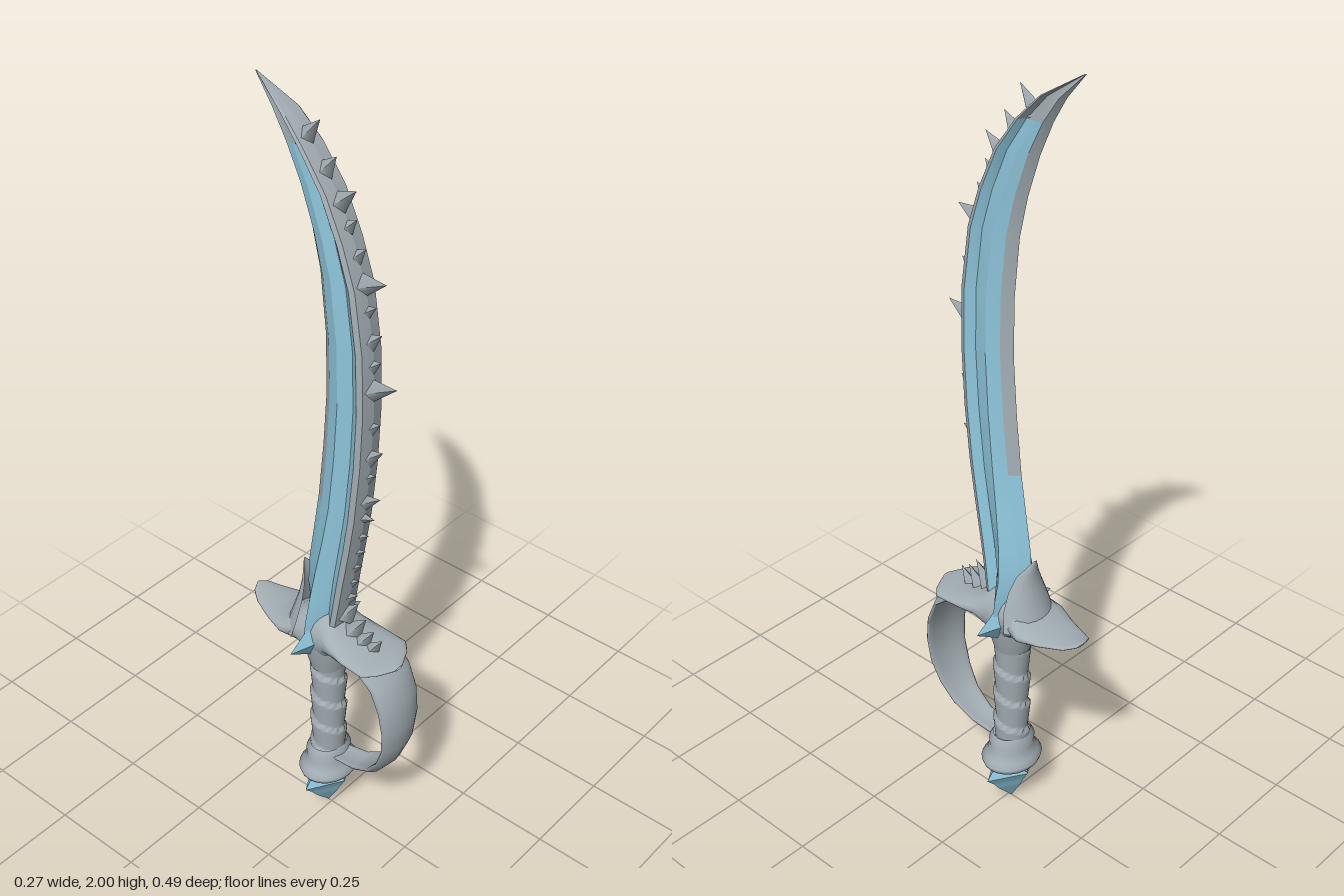
import * as THREE from 'three';

const steel = new THREE.MeshStandardMaterial({ color: 0xa3aeb4, side: THREE.DoubleSide });
steel.name = 'steel grey';
const ice = new THREE.MeshStandardMaterial({ color: 0x8fc6dc, side: THREE.DoubleSide });
ice.name = 'ice blue';

// Skin a surface over rows of [x, y, z] points
function loft(rows, closed = false) {
  const n = rows[0].length, index = [];
  const cols = closed ? n : n - 1;
  for (let i = 0; i < rows.length - 1; i++) {
    for (let j = 0; j < cols; j++) {
      const a = i * n + j, b = i * n + (j + 1) % n;
      index.push(a, b, a + n, b, b + n, a + n);
    }
  }
  const g = new THREE.BufferGeometry();
  g.setAttribute('position', new THREE.Float32BufferAttribute(rows.flat(2), 3));
  g.setIndex(index);
  g.computeVertexNormals();
  return g;
}

const lathe = (points, segments) =>
  new THREE.LatheGeometry(points.map(([r, y]) => new THREE.Vector2(r, y)), segments);

// Blade stations: height, front z, back z, spine half width, middle ridge half width
const stations = [
  [0.58, 0.03, -0.06, 0.045, 0.085], [0.66, 0.045, -0.068, 0.042, 0.075],
  [0.72, 0.055, -0.075, 0.04, 0.06], [0.80, 0.068, -0.07, 0.039, 0.049],
  [0.90, 0.085, -0.055, 0.038, 0.04], [1.00, 0.1, -0.04, 0.038, 0.035],
  [1.15, 0.115, -0.025, 0.038, 0.033], [1.30, 0.122, -0.015, 0.038, 0.032],
  [1.45, 0.118, -0.017, 0.038, 0.031], [1.60, 0.096, -0.032, 0.038, 0.03],
  [1.70, 0.062, -0.055, 0.038, 0.028], [1.80, 0.015, -0.088, 0.038, 0.025],
  [1.88, -0.045, -0.123, 0.036, 0.02], [1.94, -0.105, -0.158, 0.028, 0.014],
  [2.00, -0.203, -0.207, 0.001, 0.001],
];

function section([y, f, b, w, m]) {
  const d = f - b;
  return [[0, y, f], [w * 0.85, y, f - 0.04 * d], [w, y, f - 0.14 * d], [w * 0.6, y, f - 0.3 * d],
    [m, y, f - 0.58 * d], [w * 0.5, y, f - 0.82 * d], [0, y, b]];
}

function spineZ(y) {
  const i = Math.max(1, stations.findIndex(s => s[0] >= y));
  const [a, b] = [stations[i - 1], stations[i]];
  return THREE.MathUtils.mapLinear(y, a[0], b[0], a[1], b[1]);
}

export function createModel() {
  const model = new THREE.Group();
  const add = (name, geometry, material, parent = model) => {
    const mesh = new THREE.Mesh(geometry, material);
    mesh.name = name;
    parent.add(mesh);
    return mesh;
  };

  // Blade: one strip per facet, so edges between facets stay sharp
  const blade = new THREE.Group();
  blade.name = 'blade';
  model.add(blade);
  const tip = 12, edgeStart = 5;
  const sections = stations.map(section);
  const facet = (name, j, from, to, material) => {
    for (const side of [1, -1]) {
      const rows = sections.slice(from, to + 1).map(s =>
        [s[j], s[j + 1]].map(([x, y, z]) => [x * side, y, z]));
      add(name, loft(rows), material, blade);
    }
  };
  const last = stations.length - 1;
  for (const j of [0, 1]) facet('bladeSpine', j, 0, last, steel);
  for (const j of [2, 3, 4]) {
    facet('bladeSide', j, 0, tip, ice);
    facet('bladeTip', j, tip, last, steel);
  }
  facet('bladeHeel', 5, 0, edgeStart, ice);
  facet('cuttingEdge', 5, edgeStart, last, steel);

  // Thorns along the spine: height, length, base size, upward tilt
  const thorns = new THREE.Group();
  thorns.name = 'thorns';
  model.add(thorns);
  const thorn = (y, z, length, size, tilt) => {
    const g = new THREE.ConeGeometry(size, length + 0.02, 4);
    g.translate(0, length / 2 - 0.01, 0);
    const mesh = add('thorn', g, steel, thorns);
    mesh.position.set(0, y, z);
    mesh.rotation.x = Math.PI / 2 - tilt;
    mesh.scale.x = 0.9;
  };
  for (const [y, length, size, tilt] of [
    [0.74, 0.03, 0.02, 0.6], [0.79, 0.025, 0.016, 0.6], [0.84, 0.025, 0.016, 0.6],
    [0.89, 0.025, 0.016, 0.5], [0.94, 0.025, 0.018, 0.5], [1.0, 0.03, 0.022, 0.2],
    [1.05, 0.045, 0.025, 0.5], [1.12, 0.022, 0.02, 0.6], [1.18, 0.04, 0.026, 0.6],
    [1.26, 0.025, 0.022, 0.6], [1.36, 0.068, 0.034, 0.35], [1.42, 0.025, 0.024, 0.6],
    [1.48, 0.035, 0.026, 0.7], [1.55, 0.025, 0.022, 0.6], [1.61, 0.06, 0.034, 0.3],
    [1.67, 0.03, 0.025, 0.8], [1.73, 0.03, 0.025, 0.8], [1.78, 0.055, 0.032, 0.7],
    [1.84, 0.045, 0.03, 0.9], [1.9, 0.055, 0.028, 0.9],
  ]) thorn(y, spineZ(y), length, size, tilt);
  // Thorns stepping down onto the guard
  for (const [y, z] of [[0.69, 0.055], [0.655, 0.08], [0.63, 0.105], [0.615, 0.13]])
    thorn(y, z, 0.05, 0.028, 0.95);

  // Cross guard: z, half width, top, bottom
  const guardRows = [
    [0.213, 0.012, 0.605, 0.597], [0.19, 0.06, 0.61, 0.594], [0.165, 0.086, 0.614, 0.591],
    [0.10, 0.085, 0.625, 0.588], [0.05, 0.077, 0.65, 0.573], [0.02, 0.07, 0.68, 0.54],
    [-0.02, 0.068, 0.69, 0.52], [-0.06, 0.075, 0.67, 0.555], [-0.10, 0.086, 0.632, 0.578],
    [-0.15, 0.067, 0.612, 0.588], [-0.21, 0.042, 0.614, 0.598], [-0.235, 0.025, 0.624, 0.609],
    [-0.245, 0.004, 0.626, 0.621],
  ].map(([z, w, top, bottom]) => Array.from({ length: 20 }, (_, i) => {
    const a = i / 20 * Math.PI * 2;
    return [w * Math.cos(a), (top + bottom) / 2 + (top - bottom) / 2 * Math.sin(a), z];
  }));
  add('crossGuard', loft(guardRows, true), steel);

  // Claw hugging the heel of the blade: height, half width, back z
  const clawRows = [
    [0.6, 0.086, -0.12], [0.65, 0.076, -0.103], [0.7, 0.056, -0.088],
    [0.74, 0.036, -0.082], [0.785, 0.003, -0.088],
  ].map(([y, w, z]) => Array.from({ length: 11 }, (_, i) => {
    const a = (i / 10 - 0.5) * 2.7;
    return [w * Math.sin(a), y, z + w * 0.9 * (1 - Math.cos(a))];
  }));
  add('heelClaw', loft(clawRows), steel);

  // Faceted gem through the guard
  const gem = add('guardGem', new THREE.OctahedronGeometry(1), ice);
  gem.scale.set(0.133, 0.085, 0.042);
  gem.position.set(0, 0.6, -0.018);

  // Knuckle bow: z, y, half width
  const bowPath = [
    [0.15, 0.603, 0.074], [0.195, 0.565, 0.074], [0.222, 0.5, 0.073], [0.231, 0.43, 0.069],
    [0.225, 0.36, 0.063], [0.2, 0.295, 0.055], [0.16, 0.24, 0.045], [0.1, 0.205, 0.036],
    [0.02, 0.192, 0.03],
  ];
  const bowRows = bowPath.map(([z, y, w], k) => {
    const p = bowPath[Math.max(0, k - 1)], q = bowPath[Math.min(bowPath.length - 1, k + 1)];
    const len = Math.hypot(q[0] - p[0], q[1] - p[1]);
    const nz = -(q[1] - p[1]) / len, ny = (q[0] - p[0]) / len;
    return Array.from({ length: 16 }, (_, i) => {
      const a = i / 16 * Math.PI * 2;
      const out = 0.011 * Math.sin(a) - 0.012 * Math.cos(a) ** 2;
      return [w * Math.cos(a), y + ny * out, z + nz * out];
    });
  });
  add('knuckleBow', loft(bowRows, true), steel);

  // Grip with spiral wrap
  const grip = new THREE.CylinderGeometry(1, 1, 0.38, 32, 60, true);
  const pos = grip.attributes.position;
  for (let i = 0; i < pos.count; i++) {
    const x = pos.getX(i), z = pos.getZ(i), y = pos.getY(i);
    const turn = Math.atan2(x, z) / (Math.PI * 2) + y / 0.085;
    const r = 0.04 + 0.008 * (turn - Math.floor(turn));
    pos.setXYZ(i, x * r, y, z * r);
  }
  grip.computeVertexNormals();
  grip.translate(0, 0.37, -0.01);
  add('grip', grip, steel);

  // Collars at both ends of the grip
  const throat = add('throat', lathe([[0.044, 0.49], [0.052, 0.52], [0.062, 0.56], [0.068, 0.6]], 24), steel);
  throat.position.z = -0.012;
  const ring = add('pommelCollar', lathe([[0.044, 0.225], [0.054, 0.205], [0.052, 0.185],
    [0.062, 0.16], [0.072, 0.148], [0.068, 0.135], [0.045, 0.12]], 24), steel);
  ring.scale.x = 1.17;
  ring.position.z = -0.01;

  // Pointed pommel crystal with steel ridges front and back
  const crystal = add('pommelCrystal', lathe([[0, 0], [0.05, 0.055], [0.068, 0.08],
    [0.092, 0.105], [0.06, 0.14]], 4).toNonIndexed(), ice);
  crystal.geometry.computeVertexNormals();
  crystal.scale.z = 0.6;
  crystal.position.z = -0.01;
  const ridge = add('pommelRidge', lathe([[0.012, 0.045], [0.045, 0.085], [0.062, 0.14]], 4).toNonIndexed(), steel);
  ridge.geometry.computeVertexNormals();
  ridge.scale.x = 0.85;
  ridge.position.z = -0.01;

  return model;
}
